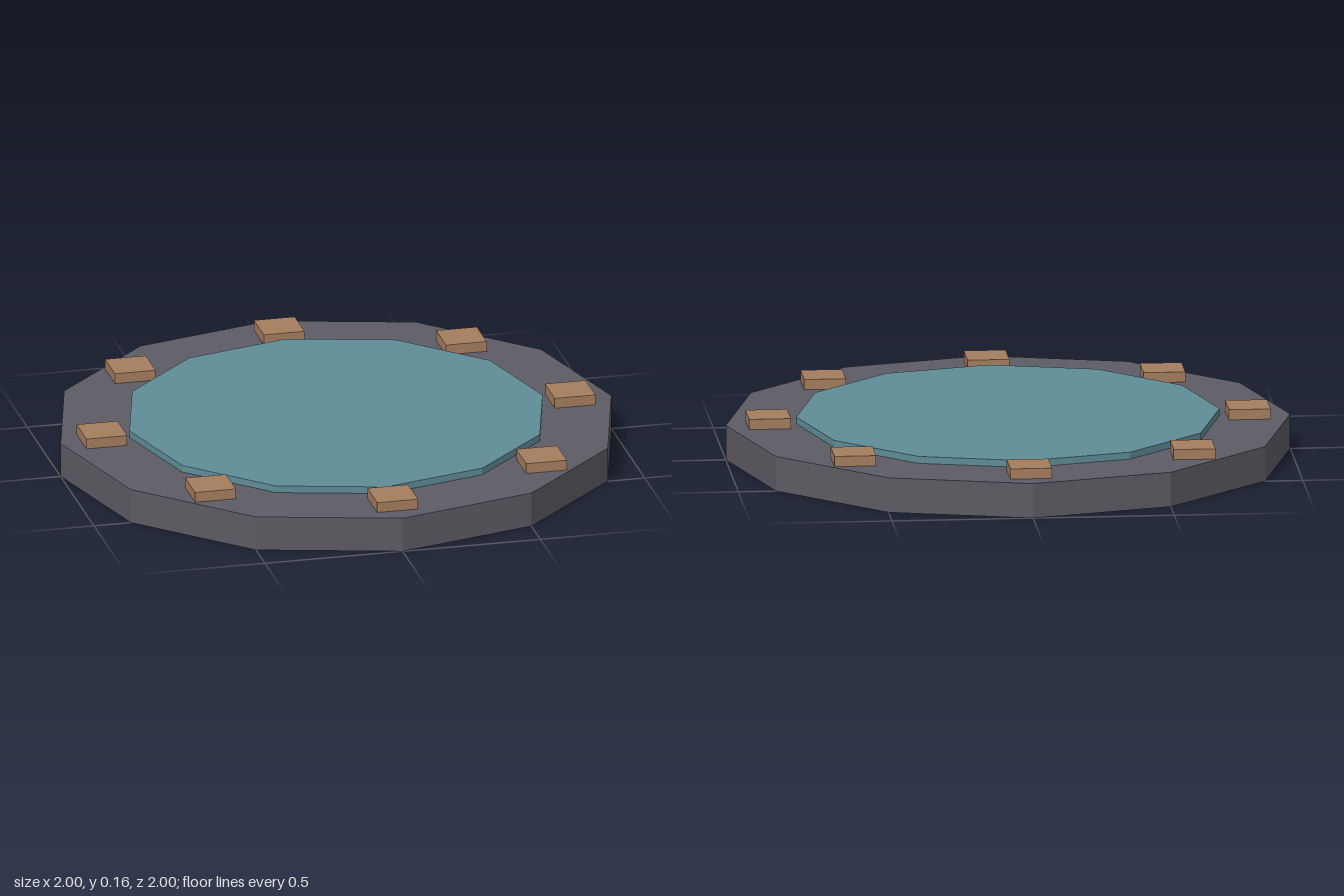
import * as THREE from 'three';

const slate = new THREE.MeshStandardMaterial({ name: 'slate', color: 0x5d5b63, flatShading: true });
const teal = new THREE.MeshStandardMaterial({ name: 'teal', color: 0x5f8c97, flatShading: true });
const copper = new THREE.MeshStandardMaterial({ name: 'copper', color: 0xa57e5f, flatShading: true });

export function createModel() {
  const model = new THREE.Group();
  model.name = 'roundPlatform';

  // Adds a named mesh spanning bottom to top in y
  function add(name, geometry, material, x, bottom, top, z) {
    const mesh = new THREE.Mesh(geometry, material);
    mesh.name = name;
    mesh.position.set(x, (bottom + top) / 2, z);
    model.add(mesh);
  }

  // Twelve-sided base with a slightly raised inner plate
  add('base', new THREE.CylinderGeometry(1, 1, 0.125, 12), slate, 0, 0, 0.125, 0);
  add('innerPlate', new THREE.CylinderGeometry(0.75, 0.75, 0.148, 12), teal, 0, 0.002, 0.15, 0);

  // Eight square studs around the rim, all aligned to the axes
  const studGeometry = new THREE.BoxGeometry(0.148, 0.04, 0.148);
  for (let i = 0; i < 8; i++) {
    const angle = (i * Math.PI) / 4;
    add(`stud${i + 1}`, studGeometry, copper, 0.85 * Math.sin(angle), 0.122, 0.162, 0.85 * Math.cos(angle));
  }
  return model;
}
